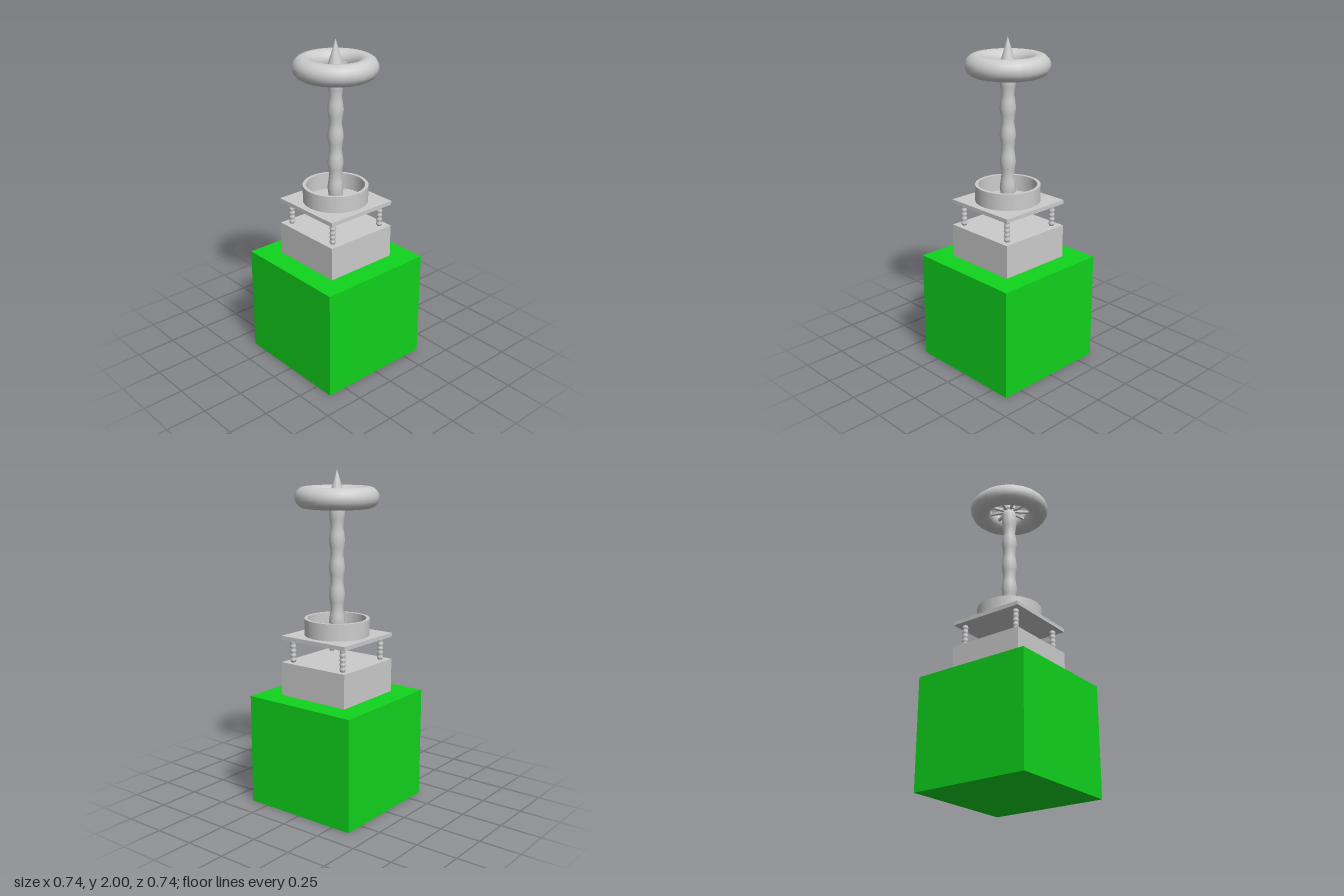
import * as THREE from 'three';

const grey = new THREE.MeshStandardMaterial({ color: 0xcccccc });
const green = new THREE.MeshStandardMaterial({ color: 0x10d41c });

export function createModel() {
  const model = new THREE.Group();
  model.name = 'pedestalWithWheel';

  const add = (name, geometry, y, material = grey, x = 0, z = 0) => {
    const mesh = new THREE.Mesh(geometry, material);
    mesh.name = name;
    mesh.position.set(x, y, z);
    model.add(mesh);
    return mesh;
  };
  const block = (name, width, bottom, top, material) =>
    add(name, new THREE.BoxGeometry(width, top - bottom, width), (bottom + top) / 2, material);

  // Turned shaft whose radius swells and narrows, starting on a narrow point
  const turned = (height, waves, rMin, rMax, sides) => {
    const points = [new THREE.Vector2(0, 0)];
    const steps = waves * 4;
    for (let i = 0; i <= steps; i++) {
      const swell = 0.5 - 0.5 * Math.cos((i / 4) * Math.PI * 2);
      points.push(new THREE.Vector2(rMin + (rMax - rMin) * swell, (height * i) / steps));
    }
    points.push(new THREE.Vector2(0, height));
    return new THREE.LatheGeometry(points, sides);
  };

  // Stacked base
  block('baseCube', 0.735, 0, 0.67, green);
  block('plinth', 0.468, 0.67, 0.873);
  block('topPlate', 0.468, 1.01, 1.034);

  // Four ribbed posts between plinth and plate
  const postGeometry = turned(0.137, 5, 0.014, 0.019, 12);
  for (const x of [-0.185, 0.185])
    for (const z of [-0.185, 0.185]) add('post', postGeometry, 0.873, grey, x, z);

  // Open collar on the plate
  const wall = new THREE.Shape().absarc(0, 0, 0.194, 0, Math.PI * 2);
  wall.holes.push(new THREE.Path().absarc(0, 0, 0.174, 0, Math.PI * 2, true));
  const collar = new THREE.ExtrudeGeometry(wall, { depth: 0.1, bevelEnabled: false, curveSegments: 32 });
  collar.rotateX(-Math.PI / 2);
  add('collar', collar, 1.034);

  // Wavy column
  add('column', turned(0.8, 5, 0.037, 0.048, 16), 1.034);

  // Wheel: tyre-like ring, nine spokes and a pointed finial
  const ring = new THREE.TorusGeometry(0.183, 0.062, 20, 24);
  ring.rotateX(Math.PI / 2);
  add('wheelRing', ring, 1.84);

  const spoke = new THREE.BoxGeometry(0.016, 0.016, 0.13);
  spoke.translate(0, 0, 0.065);
  for (let i = 0; i < 9; i++) add('spoke', spoke, 1.835).rotation.y = (i / 9) * Math.PI * 2;

  add('finial', new THREE.ConeGeometry(0.05, 0.165, 16), 1.9175);

  return model;
}
